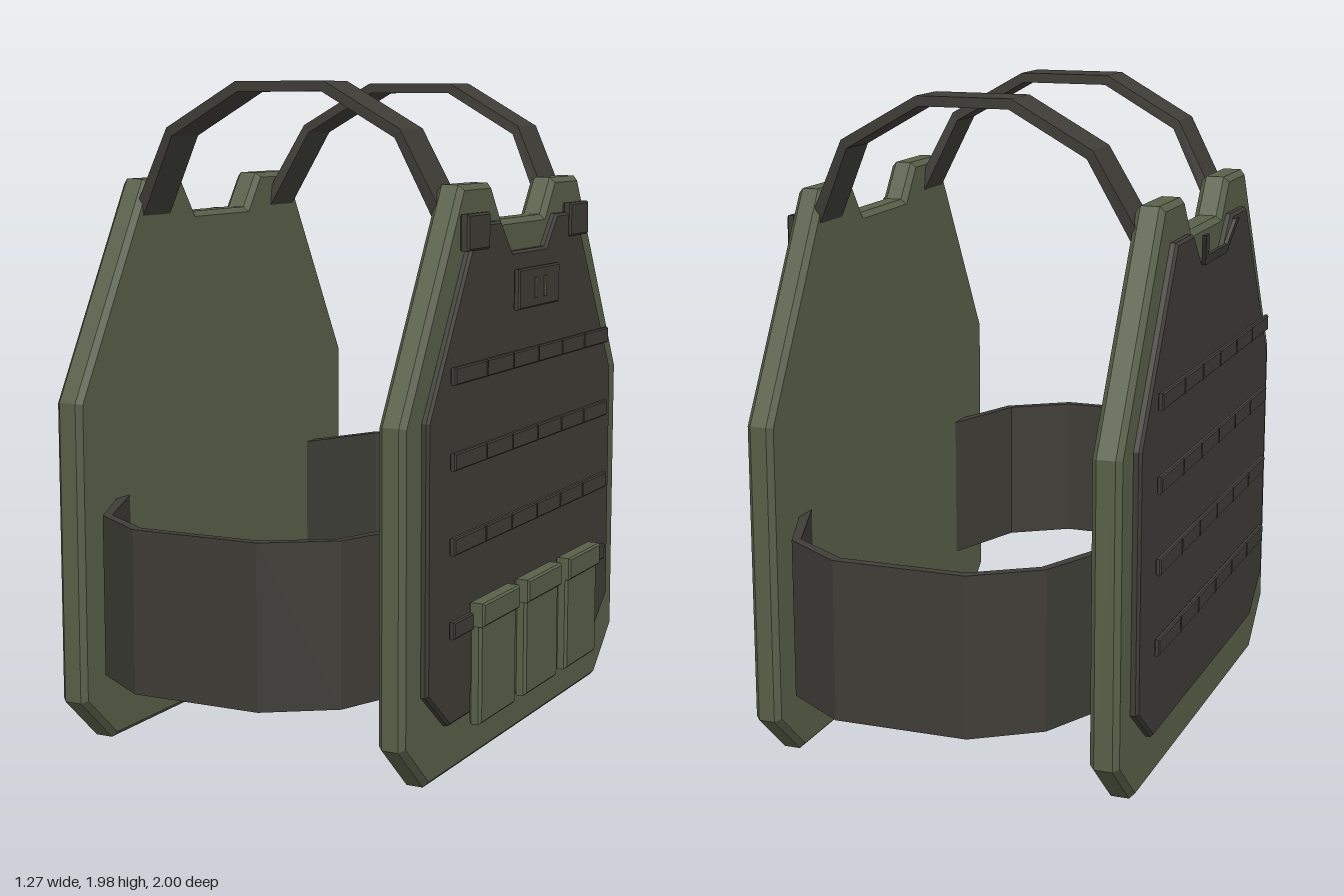
import * as THREE from 'three';

const green = new THREE.MeshStandardMaterial({ color: 0x596049 });
green.name = 'olive green';
const dark = new THREE.MeshStandardMaterial({ color: 0x3e3d37 });
dark.name = 'dark webbing';

// Closed shape from [x, y] points
const shapeOf = (pts) => new THREE.Shape(pts.map(([x, y]) => new THREE.Vector2(x, y)));

// Mirror one half of an outline ([z, y], from the neck down) to the other side
const mirrored = (half) => [...half, ...half.map(([z, y]) => [-z, y]).reverse()];

// Flat slab with chamfered edges, outline in z/y, spanning x0..x1
function slab(name, outline, x0, x1, bevel, material) {
  const geo = new THREE.ExtrudeGeometry(shapeOf(outline.map(([z, y]) => [-z, y])), {
    depth: x1 - x0 - 2 * bevel, bevelEnabled: true, bevelSegments: 1,
    bevelSize: bevel, bevelOffset: -bevel, bevelThickness: bevel,
  });
  geo.rotateY(Math.PI / 2).translate(x0 + bevel, 0, 0);
  const mesh = new THREE.Mesh(geo, material);
  mesh.name = name;
  return mesh;
}

// Chamfered box given by its limits
const block = (name, x0, x1, y0, y1, z0, z1, bevel, material) =>
  slab(name, [[z0, y0], [z1, y0], [z1, y1], [z0, y1]], x0, x1, bevel, material);

const plateOutline = mirrored([
  [0.16, 1.575], [0.24, 1.685], [0.445, 1.685], [0.82, 1.045], [0.82, 0.145], [0.66, 0],
]);
const panelOutline = mirrored([
  [0.13, 1.48], [0.215, 1.575], [0.385, 1.575], [0.71, 1.045], [0.71, 0.275], [0.56, 0.155],
]);
const webbingRows = [0.445, 0.685, 0.925, 1.165];
const seams = [-0.385, -0.193, 0, 0.193, 0.385];

// Armour plate, inner panel and rows of webbing; side is the sign of x
function carrier(name, side, plate, panel, web) {
  const g = new THREE.Group();
  g.name = name;
  g.add(slab('plate', plateOutline, plate[0], plate[1], 0.016, green));
  g.add(slab('panel', panelOutline, panel[0], panel[1], 0.008, dark));
  for (const y of webbingRows) {
    g.add(block('webbing', web[0], web[1], y - 0.025, y + 0.025, -0.6, 0.6, 0.004, dark));
    const face = side > 0 ? web[1] : web[0];
    for (const z of seams) {
      g.add(block('seam', face - 0.002, face + 0.002, y - 0.023, y + 0.023, z - 0.004, z + 0.004, 0.0005, dark));
    }
  }
  return g;
}

// Strip of constant section: outer and inner polylines extruded
function strip(outer, inner, width) {
  return new THREE.ExtrudeGeometry(shapeOf([...outer, ...[...inner].reverse()]), {
    depth: width, bevelEnabled: false,
  });
}

export function createModel() {
  const model = new THREE.Group();
  model.name = 'plateCarrier';

  const front = carrier('chestCarrier', 1, [0.465, 0.547], [0.535, 0.568], [0.581, 0.6]);
  const back = carrier('backCarrier', -1, [-0.587, -0.5], [-0.61, -0.575], [-0.638, -0.621]);
  model.add(front, back);

  // Shoulder buckles on the chest
  for (const s of [-1, 1]) {
    front.add(block('shoulderBuckle', 0.547, 0.576, 1.5, 1.605, s * 0.39 - 0.077, s * 0.39 + 0.077, 0.006, dark));
  }

  // Small chest pocket with two tabs
  front.add(block('chestPocket', 0.581, 0.602, 1.31, 1.43, -0.158, 0.158, 0.005, dark));
  for (const z of [-0.034, 0.034]) {
    front.add(block('pocketTab', 0.598, 0.606, 1.338, 1.4, z - 0.009, z + 0.009, 0.001, green));
  }

  // Three pouches with flaps
  for (const z of [-0.333, 0.002, 0.337]) {
    front.add(block('pouch', 0.585, 0.623, 0.14, 0.485, z - 0.13, z + 0.13, 0.008, green));
    front.add(block('pouchFlap', 0.584, 0.634, 0.43, 0.5, z - 0.134, z + 0.134, 0.006, green));
  }

  // Drag handle hanging below the neck of the back panel
  const handle = strip(
    [[-0.19, 1.57], [-0.12, 1.47], [0.12, 1.47], [0.19, 1.57]],
    [[-0.155, 1.57], [-0.105, 1.5], [0.105, 1.5], [0.155, 1.57]], 0.012);
  const hp = handle.attributes.position;
  for (let i = 0; i < hp.count; i++) hp.setZ(i, hp.getZ(i) - 0.2 * (hp.getY(i) - 1.47));
  handle.rotateY(Math.PI / 2).translate(-0.618, 0, 0);
  handle.computeVertexNormals();
  const handleMesh = new THREE.Mesh(handle, dark);
  handleMesh.name = 'dragHandle';
  back.add(handleMesh);

  // Shoulder straps: faceted arches that lean inward toward their ends
  const archOuter = [[-0.53, 1.59], [-0.392, 1.84], [-0.152, 1.975], [0.137, 1.975], [0.377, 1.84], [0.5, 1.59]];
  const archInner = [[-0.5, 1.575], [-0.375, 1.815], [-0.145, 1.945], [0.13, 1.945], [0.36, 1.815], [0.47, 1.575]];
  for (const s of [-1, 1]) {
    const geo = strip(archOuter, archInner, 0.15).translate(0, 0, -0.075);
    const p = geo.attributes.position;
    for (let i = 0; i < p.count; i++) {
      const drop = (1.975 - p.getY(i)) / 0.4;
      p.setZ(i, p.getZ(i) + s * (0.432 - 0.042 * drop * drop));
    }
    geo.computeVertexNormals();
    const mesh = new THREE.Mesh(geo, dark);
    mesh.name = 'shoulderStrap';
    model.add(mesh);
  }

  // Waist bands joining both plates at the sides
  const waistOuter = [[-0.545, 0.54], [-0.392, 0.87], [-0.205, 1], [0.192, 1], [0.382, 0.87], [0.51, 0.54]];
  const waistInner = [[-0.515, 0.53], [-0.372, 0.85], [-0.195, 0.97], [0.182, 0.97], [0.362, 0.85], [0.48, 0.53]];
  for (const s of [-1, 1]) {
    const flip = ([x, z]) => [x, -s * z];
    const geo = strip(waistOuter.map(flip), waistInner.map(flip), 0.473);
    geo.rotateX(-Math.PI / 2).translate(0, 0.262, 0);
    const mesh = new THREE.Mesh(geo, dark);
    mesh.name = 'waistBand';
    model.add(mesh);
  }

  return model;
}
